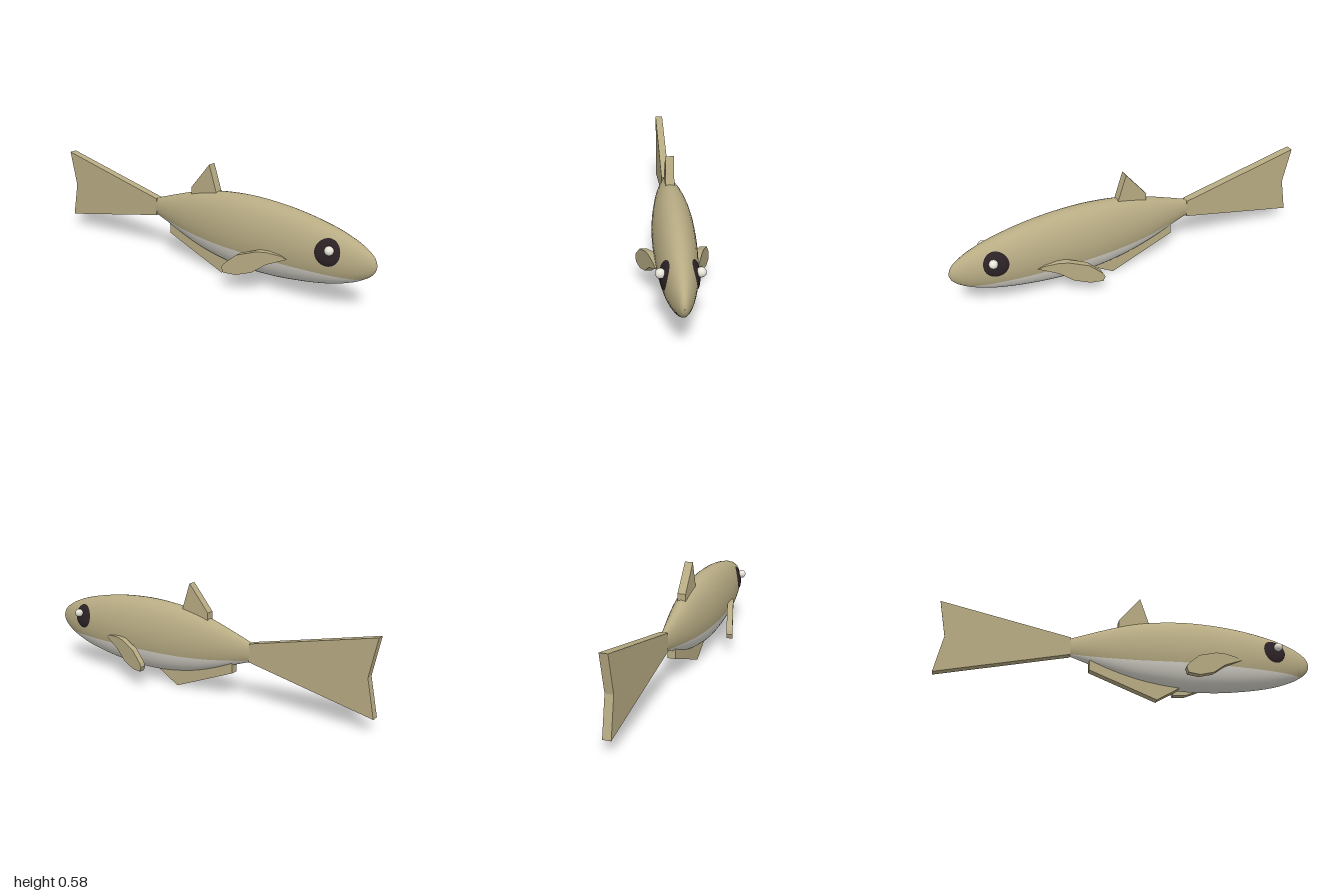
import * as THREE from 'three';

const mat = (name, color) => Object.assign(new THREE.MeshStandardMaterial({ color }), { name });

// Body stations: z, top y, bottom y, half width
const STATIONS = [
  [1, 0.267, 0.267, 0], [0.99, 0.298, 0.236, 0.016], [0.97, 0.323, 0.212, 0.027],
  [0.94, 0.344, 0.19, 0.039], [0.89, 0.37, 0.163, 0.055], [0.8, 0.402, 0.13, 0.075],
  [0.7, 0.426, 0.106, 0.088], [0.6, 0.444, 0.089, 0.097], [0.5, 0.456, 0.076, 0.102],
  [0.4, 0.462, 0.069, 0.105], [0.3, 0.463, 0.067, 0.105], [0.2, 0.457, 0.074, 0.101],
  [0.1, 0.445, 0.088, 0.092], [0, 0.425, 0.109, 0.08], [-0.1, 0.396, 0.139, 0.065],
  [-0.2, 0.362, 0.175, 0.046], [-0.3, 0.326, 0.21, 0.026], [-0.35, 0.306, 0.228, 0.015],
  [-0.36, 0.267, 0.267, 0],
];
const heights = new THREE.CatmullRomCurve3(
  STATIONS.map(s => new THREE.Vector3(s[0], s[1], s[2])), false, 'catmullrom', 0.5);
const widths = new THREE.CatmullRomCurve3(
  STATIONS.map(s => new THREE.Vector3(s[0], s[3], 0)), false, 'catmullrom', 0.5);

function section(t) {
  const h = heights.getPoint(t);
  return { z: h.x, cy: (h.y + h.z) / 2, ry: Math.max((h.y - h.z) / 2, 1e-4), rx: Math.max(widths.getPoint(t).y, 1e-4) };
}

// Half width of the body surface at a given height and depth
function surfaceX(y, z) {
  let lo = 0, hi = 1;
  for (let i = 0; i < 30; i++) {
    const mid = (lo + hi) / 2;
    if (heights.getPoint(mid).x > z) lo = mid; else hi = mid;
  }
  const s = section(lo);
  return s.rx * Math.sqrt(Math.max(0, 1 - ((y - s.cy) / s.ry) ** 2));
}

// Elliptical loops, each split at the belly line into a back arc and a belly arc
function bodyGeometry() {
  const rings = 72, up = 24, low = 16, n = up + low;
  const pos = [], back = [], belly = [];
  for (let i = 0; i <= rings; i++) {
    const { z, cy, ry, rx } = section(i / rings);
    const line = 0.19 + 0.16 * Math.max(0, 0.15 - z) ** 2;
    const a = Math.asin(THREE.MathUtils.clamp((line - cy) / ry, -1, 1));
    for (let j = 0; j < n; j++) {
      const ang = j <= up
        ? a + (Math.PI - 2 * a) * j / up
        : Math.PI - a + (Math.PI + 2 * a) * (j - up) / low;
      pos.push(rx * Math.cos(ang), cy + ry * Math.sin(ang), z);
    }
  }
  for (let i = 0; i < rings; i++) {
    for (let j = 0; j < n; j++) {
      const k = (j + 1) % n;
      const a = i * n + j, b = i * n + k, c = a + n, d = b + n;
      (j < up ? back : belly).push(a, c, b, b, c, d);
    }
  }
  const g = new THREE.BufferGeometry();
  g.setAttribute('position', new THREE.Float32BufferAttribute(pos, 3));
  g.setIndex([...back, ...belly]);
  g.addGroup(0, back.length, 0);
  g.addGroup(back.length, belly.length, 1);
  g.computeVertexNormals();
  return g;
}

// Flat fin from a (z, y) outline, thickness centred on x = 0
function finGeometry(outline, thickness) {
  const shape = new THREE.Shape(outline.map(([z, y]) => new THREE.Vector2(-z, y)));
  const g = new THREE.ExtrudeGeometry(shape, { depth: thickness, bevelEnabled: false });
  return g.translate(0, 0, -thickness / 2).rotateY(Math.PI / 2);
}

// Shallow oval dome that follows the side of the body
function eyeGeometry(side) {
  const rings = 8, segs = 32;
  const g = new THREE.RingGeometry(0.0001, 1, segs, rings).rotateY(side * Math.PI / 2);
  const p = g.attributes.position;
  for (let i = 0; i < p.count; i++) {
    const r2 = Math.min(1, p.getY(i) ** 2 + p.getZ(i) ** 2);
    const y = 0.306 + 0.067 * p.getY(i), z = 0.78 + 0.062 * p.getZ(i);
    p.setXYZ(i, side * (surfaceX(y, z) + 0.009 * Math.sqrt(1 - r2) + 0.001), y, z);
  }
  g.computeVertexNormals();
  return g;
}

export function createModel() {
  const olive = mat('olive skin', 0xb8ac84);
  const pale = mat('pale belly', 0xdbd8ce);
  const dark = mat('dark eye', 0x2c2226);
  const white = mat('eye glint', 0xeeebdf);

  const model = new THREE.Group();
  model.name = 'fish';
  const add = (name, geometry, material) => {
    const mesh = new THREE.Mesh(geometry, material);
    mesh.name = name;
    model.add(mesh);
    return mesh;
  };

  add('body', bodyGeometry(), [olive, pale]);

  // Fins on the centre line
  add('tailFin', finGeometry(
    [[-0.32, 0.317], [-1, 0.465], [-0.96, 0.267], [-1, 0.07], [-0.32, 0.22]], 0.042), olive);
  add('dorsalFin', finGeometry(
    [[0.1, 0.43], [0.05, 0.582], [-0.066, 0.44], [-0.066, 0.36], [0.1, 0.36]], 0.044), olive);
  add('analFin', finGeometry(
    [[0.26, 0.075], [0.135, 0], [-0.22, 0.14], [-0.22, 0.2], [0.1, 0.15]], 0.044), olive);

  // Paired parts
  const paddle = [[0.58, 0.225], [0.55, 0.238], [0.48, 0.245], [0.43, 0.24], [0.33, 0.205],
    [0.265, 0.145], [0.255, 0.125], [0.265, 0.098], [0.33, 0.097], [0.41, 0.125], [0.48, 0.18]];
  for (const side of [1, -1]) {
    const label = side > 0 ? 'left' : 'right';

    // Pectoral fin flares outward towards its rear tip
    const fin = finGeometry(paddle, 0.035);
    const p = fin.attributes.position;
    for (let i = 0; i < p.count; i++) {
      p.setX(i, p.getX(i) + side * (0.082 + 0.27 * (0.58 - p.getZ(i))));
    }
    fin.computeVertexNormals();
    add(label + 'PectoralFin', fin, olive);

    add(label + 'Eye', eyeGeometry(side), dark);
    add(label + 'EyeGlint', new THREE.SphereGeometry(0.023, 20, 14), white)
      .position.set(side * 0.089, 0.326, 0.797);
  }
  return model;
}
